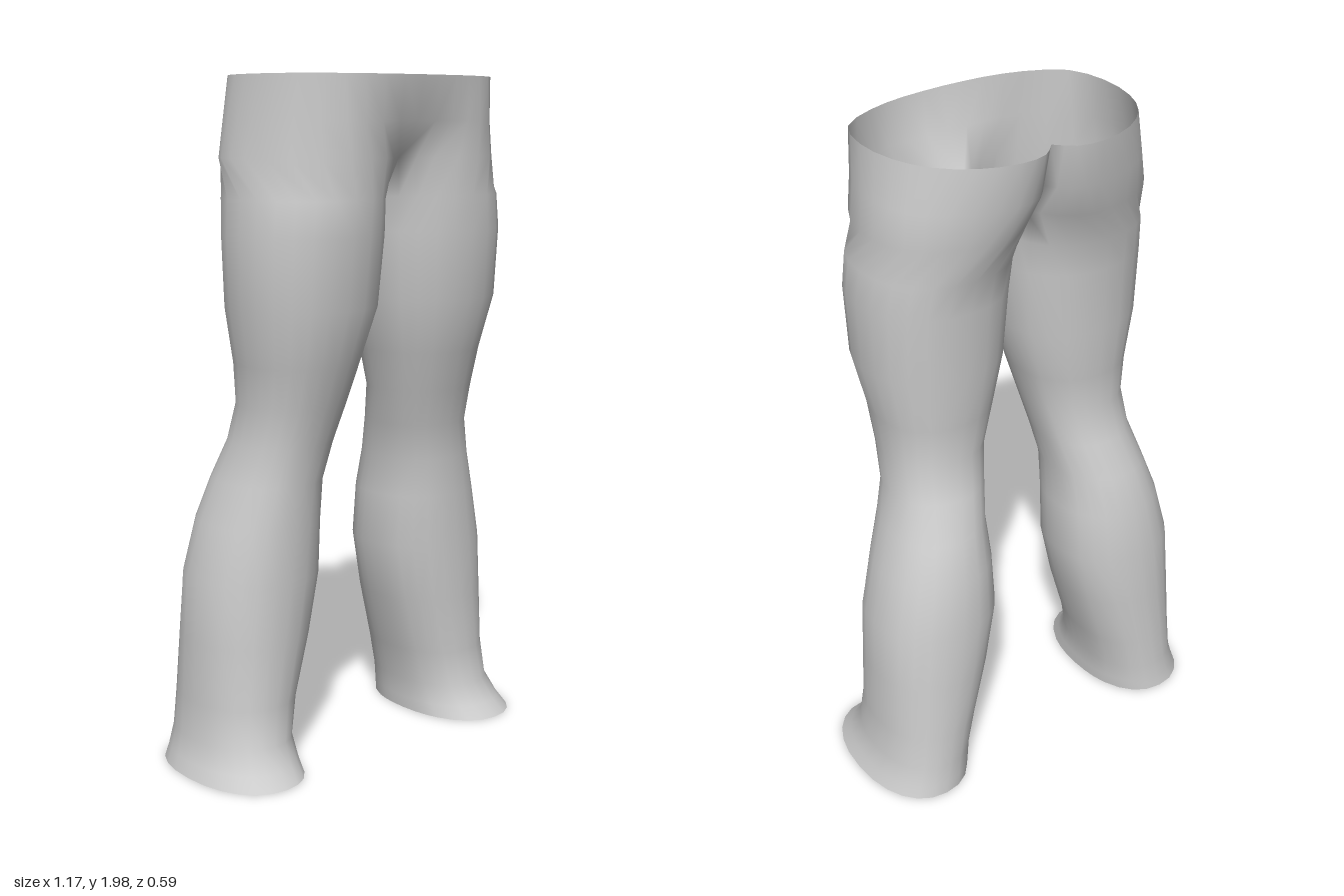
import * as THREE from 'three';
import { mergeGeometries, mergeVertices } from 'three/addons/utils/BufferGeometryUtils.js';

const OUTER = 20; // segments from front seam, round the hip, to back seam
const INNER = 6;  // segments along the inside of the leg

// Waist-to-crotch half outlines: height, then [x, z] from front seam to back seam
const pelvis = [
  [1.995, [[0, .30], [.13, .293], [.25, .265], [.36, .20], [.395, .08], [.38, -.05], [.33, -.15], [.24, -.225], [.13, -.26], [.05, -.25], [0, -.205]]],
  [1.87, [[0, .275], [.13, .28], [.25, .27], [.37, .19], [.41, .06], [.40, -.06], [.35, -.15], [.25, -.22], [.13, -.247], [.05, -.23], [0, -.17]]],
  [1.77, [[0, .2], [.09, .25], [.24, .275], [.38, .19], [.425, .05], [.415, -.07], [.36, -.15], [.26, -.2], [.14, -.215], [.05, -.17], [0, -.09]]],
];

// Leg sections: y, inner x, outer x, back z, front z
const leg = [
  [1.66, .003, .438, -.185, .275],
  [1.56, .005, .45, -.168, .272],
  [1.36, .022, .444, -.157, .256],
  [1.20, .066, .412, -.143, .21],
  [1.08, .098, .402, -.133, .175],
  [.97, .122, .408, -.165, .143],
  [.86, .145, .44, -.21, .129],
  [.74, .141, .48, -.245, .123],
  [.58, .138, .521, -.266, .12],
  [.40, .178, .53, -.272, .117],
  [.22, .232, .536, -.278, .115],
  [.11, .258, .545, -.282, .128],
  [.05, .259, .567, -.287, .168],
  [.012, .26, .585, -.293, .205],
];

function pelvisRing([y, points]) {
  const curve = new THREE.CatmullRomCurve3(points.map(([x, z]) => new THREE.Vector3(x, y, z)));
  const ring = curve.getPoints(OUTER);
  ring[0].x = ring[OUTER].x = 0;
  // Straight crotch seam back to the front
  for (let j = 1; j <= INNER; j++) ring.push(ring[OUTER].clone().lerp(ring[0], j / INNER));
  return ring;
}

function legRing([y, xi, xo, zb, zf]) {
  const soft = (v) => Math.sign(v) * Math.abs(v) ** 0.9;
  const ring = [];
  for (let j = 0; j <= OUTER + INNER; j++) {
    const deg = j <= OUTER ? 150 - 300 * j / OUTER : -150 - 60 * (j - OUTER) / INNER;
    const a = THREE.MathUtils.degToRad(deg);
    ring.push(new THREE.Vector3(
      (xi + xo) / 2 + (xo - xi) / 2 * soft(Math.cos(a)), y,
      (zb + zf) / 2 + (zf - zb) / 2 * soft(Math.sin(a))));
  }
  return ring;
}

// One half of the trousers; side is +1 for left, -1 for right
function halfGeometry(side) {
  const rings = [...pelvis.map(pelvisRing), ...leg.map(legRing)];
  const row = OUTER + INNER + 1;
  const positions = [], index = [];
  rings.forEach((ring) => ring.forEach((p) => positions.push(p.x * side, p.y, p.z)));
  for (let i = 0; i < rings.length - 1; i++) {
    // Above the crotch only the outer arc is cloth
    const count = i < pelvis.length - 1 ? OUTER : OUTER + INNER;
    for (let j = 0; j < count; j++) {
      const a = i * row + j, b = a + 1, c = a + row, d = c + 1;
      if (side > 0) index.push(a, c, b, b, c, d);
      else index.push(a, b, c, b, d, c);
    }
  }
  const geometry = new THREE.BufferGeometry();
  geometry.setAttribute('position', new THREE.Float32BufferAttribute(positions, 3));
  geometry.setIndex(index);
  return geometry;
}

export function createModel() {
  const cloth = new THREE.MeshStandardMaterial({ color: 0xcccccc });
  cloth.name = 'greyCloth';
  cloth.side = THREE.DoubleSide;

  // Both halves are welded so the front seam shades smoothly
  const geometry = mergeVertices(mergeGeometries([halfGeometry(1), halfGeometry(-1)]), 1e-4);
  geometry.computeVertexNormals();
  const trousers = new THREE.Mesh(geometry, cloth);
  trousers.name = 'trousers';

  const group = new THREE.Group();
  group.name = 'trousersModel';
  group.add(trousers);
  // Rest the hems on the ground
  trousers.position.y = -0.006;
  return group;
}
